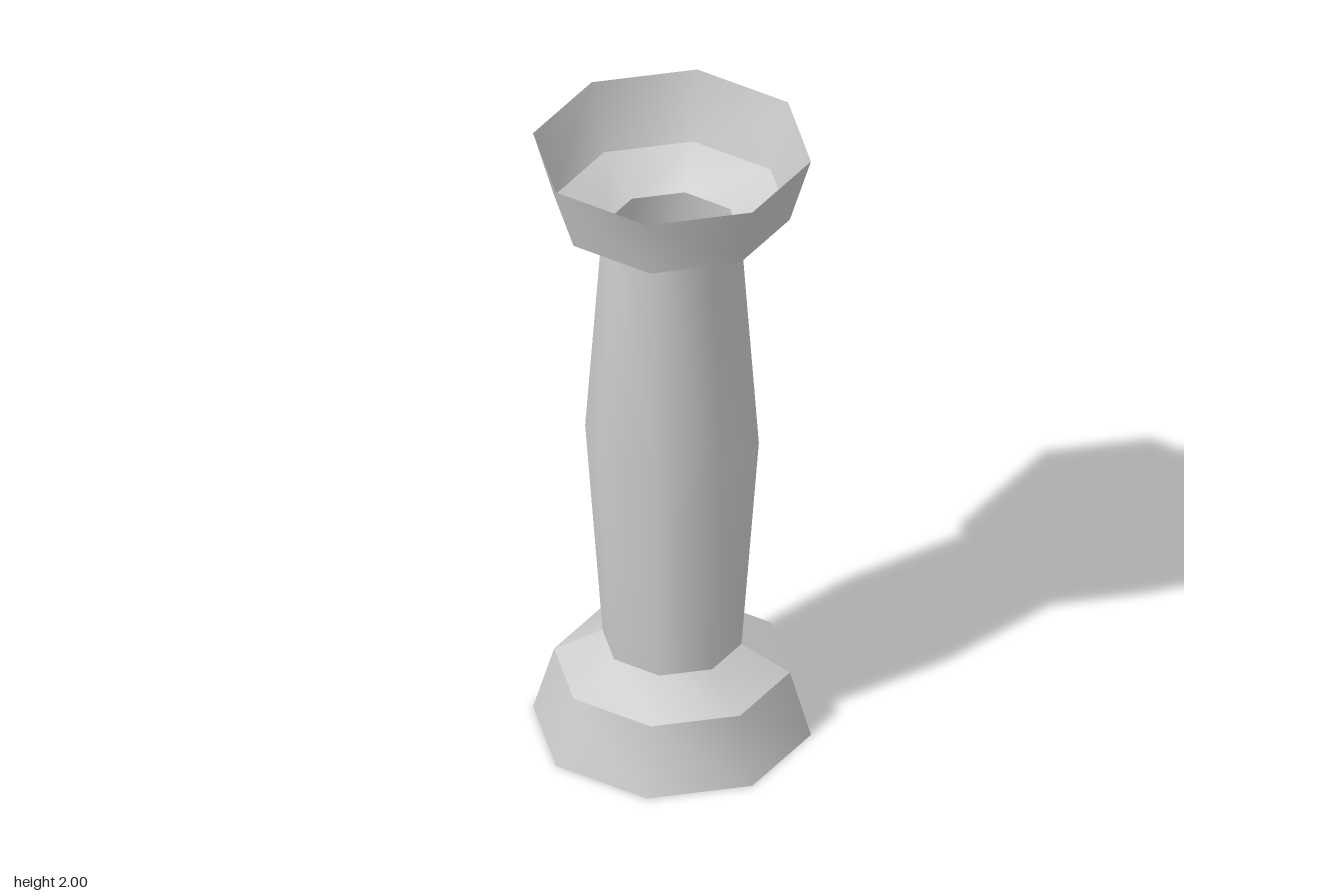
import * as THREE from 'three';

const START = Math.PI / 2 + Math.atan(0.2); // direction of the first corner of the octagon
const material = new THREE.MeshStandardMaterial({ color: 0xcccccc, side: THREE.DoubleSide });

// Open octagonal band turned from [radius, height] points, in two halves
// so that the two seams stay sharp while the rest is smooth.
function band(name, profile) {
  const group = new THREE.Group();
  group.name = name;
  const points = profile.map(([r, y]) => new THREE.Vector2(r, y));
  for (let half = 0; half < 2; half++) {
    const geometry = new THREE.LatheGeometry(points, 4, START + half * Math.PI, Math.PI);
    geometry.computeVertexNormals();
    const mesh = new THREE.Mesh(geometry, material);
    mesh.name = name + (half ? 'HalfB' : 'HalfA');
    group.add(mesh);
  }
  return group;
}

export function createModel() {
  const model = new THREE.Group();
  model.name = 'column';

  // Flared foot and its sloping shoulder
  model.add(band('baseWall', [[0.408, 0], [0.346, 0.21]]));
  model.add(band('baseShoulder', [[0.346, 0.21], [0.204, 0.293]]));

  // Hollow shaft, widest at mid height
  model.add(band('shaft', [[0.204, 0.293], [0.255, 1], [0.204, 1.707]]));

  // Cup at the top, mirroring the foot
  model.add(band('capShoulder', [[0.204, 1.707], [0.346, 1.79]]));
  model.add(band('capWall', [[0.346, 1.79], [0.408, 2]]));

  return model;
}
